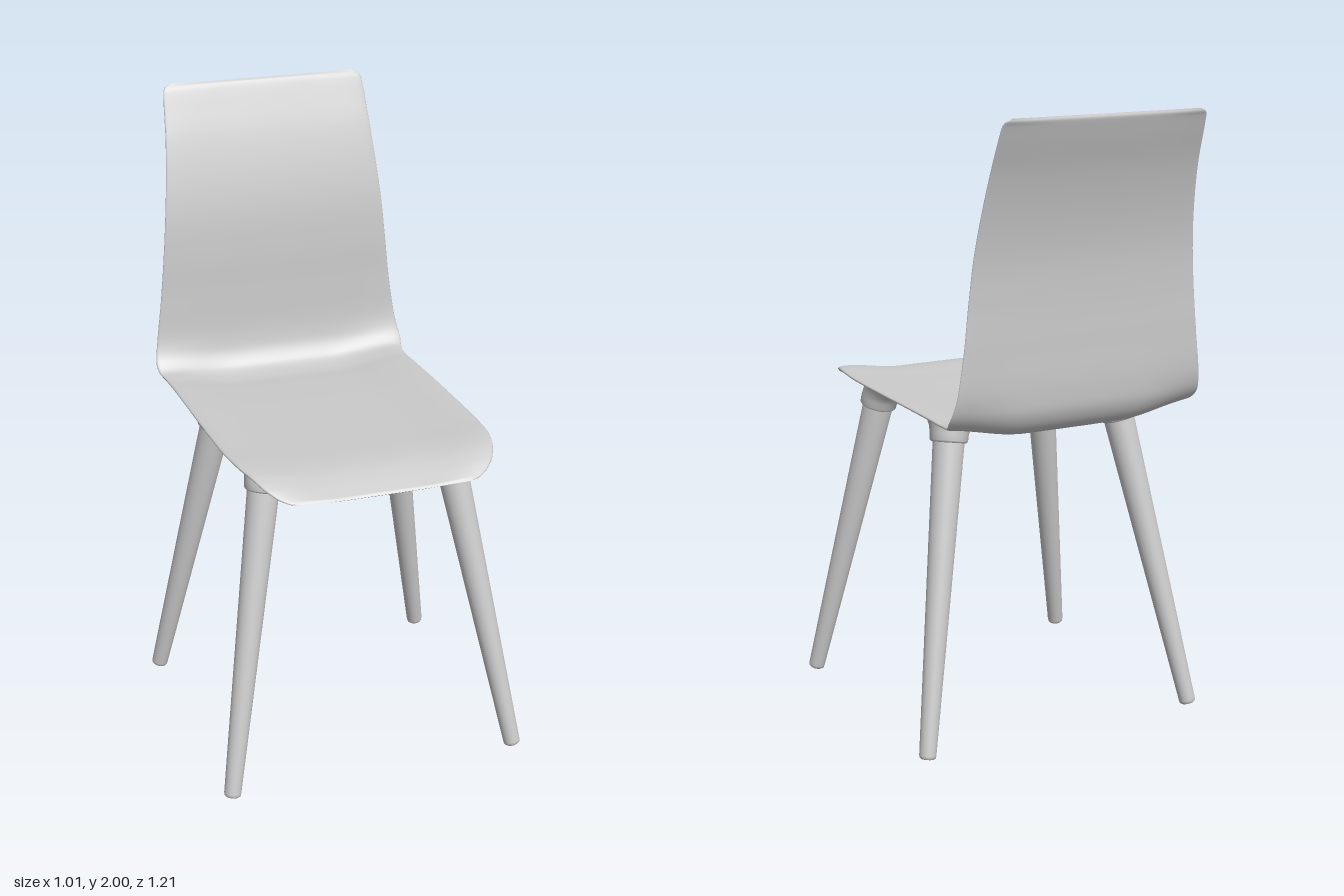
import * as THREE from 'three';

const material = new THREE.MeshStandardMaterial({ color: 0xcccccc, side: THREE.DoubleSide });

// Shell stations from front lip to top of back: z, y, half width, edge lift, half thickness
const stations = [
  [0.602, 1.008, 0.27, 0.004, 0], [0.594, 1.009, 0.3, 0.008, 0.006], [0.575, 1.014, 0.33, 0.014, 0.009],
  [0.54, 1.025, 0.362, 0.023, 0.012], [0.49, 1.039, 0.387, 0.028, 0.013], [0.42, 1.046, 0.407, 0.028, 0.013],
  [0.3, 1.045, 0.418, 0.027, 0.013], [0.1, 1.042, 0.421, 0.028, 0.013], [-0.1, 1.038, 0.421, 0.03, 0.013],
  [-0.25, 1.031, 0.42, 0.034, 0.013], [-0.35, 1.027, 0.421, 0.036, 0.013], [-0.415, 1.043, 0.429, 0.03, 0.013],
  [-0.45, 1.09, 0.435, 0.02, 0.012], [-0.464, 1.16, 0.424, 0.008, 0.01], [-0.469, 1.3, 0.405, 0.004, 0.009],
  [-0.472, 1.45, 0.39, 0.004, 0.009], [-0.481, 1.58, 0.378, 0.004, 0.009], [-0.502, 1.7, 0.366, 0.004, 0.009],
  [-0.537, 1.83, 0.354, 0.004, 0.009], [-0.573, 1.93, 0.347, 0.003, 0.009], [-0.591, 1.978, 0.342, 0.002, 0.008],
  [-0.597, 1.992, 0.333, 0, 0.006], [-0.6, 2.0, 0.315, 0, 0],
];

// Closed cross-sections swept along the bent spine; edges lift to form the dish
function shellGeometry() {
  const rows = 132, around = 72;
  const spine = new THREE.CatmullRomCurve3(stations.map(s => new THREE.Vector3(0, s[1], s[0])));
  const size = new THREE.CatmullRomCurve3(
    stations.map(s => new THREE.Vector3(s[2], s[3], s[4])), false, 'catmullrom', 0.5);
  const pos = [], index = [];
  for (let i = 0; i <= rows; i++) {
    const p = spine.getPoint(i / rows), tan = spine.getTangent(i / rows), s = size.getPoint(i / rows);
    for (let j = 0; j < around; j++) {
      const a = (j / around) * Math.PI * 2;
      const u = Math.cos(a), sn = Math.sin(a);
      const off = Math.max(s.z, 0) * Math.sign(sn) * Math.pow(Math.abs(sn), 0.6)
        + s.y * THREE.MathUtils.smoothstep(Math.abs(u), 0.4, 1);
      pos.push(u * s.x, p.y - tan.z * off, p.z + tan.y * off);
      if (i < rows) {
        const k = i * around, n = (j + 1) % around;
        const A = k + j, B = k + n, C = A + around, D = B + around;
        index.push(A, C, B, B, C, D);
      }
    }
  }
  const g = new THREE.BufferGeometry();
  g.setAttribute('position', new THREE.Float32BufferAttribute(pos, 3));
  g.setIndex(index);
  g.computeVertexNormals();
  return g;
}

function addMesh(parent, name, geometry) {
  const mesh = new THREE.Mesh(geometry, material);
  mesh.name = name;
  parent.add(mesh);
  return mesh;
}

// Tapered leg with a slightly rounded foot, plus a socket that flares inward under the seat
function makeLeg(name, foot, top, shift) {
  const group = new THREE.Group();
  group.name = name;
  const axis = top.clone().sub(foot);
  const length = axis.length();
  const turn = new THREE.Quaternion().setFromUnitVectors(new THREE.Vector3(0, 1, 0), axis.normalize());

  const profile = [[0, 0], [0.021, 0], [0.0255, 0.004], [0.027, 0.012], [0.051, length], [0, length]]
    .map(([r, h]) => new THREE.Vector2(r, h));
  const leg = addMesh(group, 'leg', new THREE.LatheGeometry(profile, 32));
  leg.quaternion.copy(turn);
  leg.position.copy(foot);

  const collar = [[0.048, -0.04], [0.055, -0.042], [0.06, -0.036], [0.061, -0.015], [0.066, 0.005],
    [0.076, 0.022], [0.092, 0.036], [0.115, 0.046]].map(([r, h]) => new THREE.Vector2(r, h));
  const socket = new THREE.LatheGeometry(collar, 40);
  const pos = socket.attributes.position, v = new THREE.Vector3();
  for (let i = 0; i < pos.count; i++) {
    v.fromBufferAttribute(pos, i);
    const s = THREE.MathUtils.clamp((v.y + 0.02) / 0.066, 0, 1);
    v.applyQuaternion(turn).add(top).addScaledVector(shift, s * s);
    pos.setXYZ(i, v.x, Math.min(v.y, 1.043), v.z);
  }
  socket.computeVertexNormals();
  addMesh(group, 'socket', socket);
  return group;
}

export function createModel() {
  const chair = new THREE.Group();
  chair.name = 'chair';
  addMesh(chair, 'seatShell', shellGeometry());

  for (const [side, label] of [[1, 'Left'], [-1, 'Right']]) {
    chair.add(makeLeg('front' + label + 'Leg', new THREE.Vector3(side * 0.478, 0.005, 0.532),
      new THREE.Vector3(side * 0.302, 1.0, 0.345), new THREE.Vector3(-side * 0.03, 0, -0.04)));
    chair.add(makeLeg('rear' + label + 'Leg', new THREE.Vector3(side * 0.481, 0.005, -0.353),
      new THREE.Vector3(side * 0.302, 1.0, -0.165), new THREE.Vector3(-side * 0.02, 0, 0.015)));
  }
  return chair;
}
